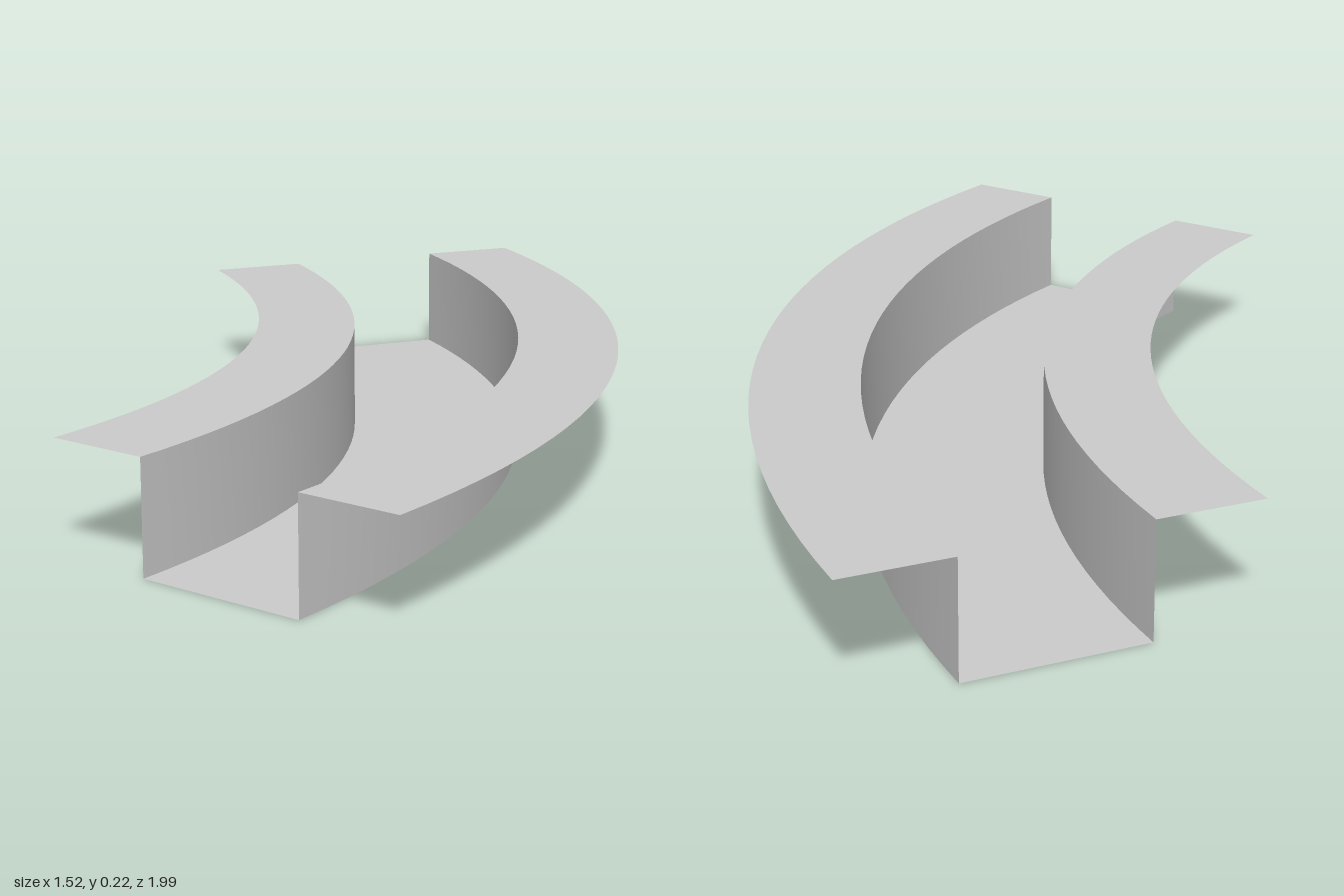
import * as THREE from 'three';

const HALF = 0.381;    // half of the full width
const CHANNEL = 0.174; // half of the channel width
const HEIGHT = 0.22;
const SEGMENTS = 32;

// Centre line in plan (x, z): a bend of sixty degrees
function centreLine() {
  const start = new THREE.Vector3(0.379, 0, -0.997);
  const end = new THREE.Vector3(-0.572, 0, 0.664);
  const handle = 0.708;
  const heading = (deg) => {
    const a = THREE.MathUtils.degToRad(deg);
    return new THREE.Vector3(-Math.sin(a), 0, Math.cos(a));
  };
  return new THREE.CubicBezierCurve3(
    start,
    start.clone().addScaledVector(heading(0.4), handle),
    end.clone().addScaledVector(heading(59.9), -handle),
    end
  );
}

// Sweeps one straight piece of the cross-section, from [offset, y] to [offset, y]
function sweepStrip(curve, from, to) {
  const positions = [];
  const index = [];
  for (let i = 0; i <= SEGMENTS; i++) {
    const p = curve.getPoint(i / SEGMENTS);
    const t = curve.getTangent(i / SEGMENTS);
    for (const [offset, y] of [from, to]) {
      positions.push(p.x + t.z * offset, y, p.z - t.x * offset);
    }
    if (i < SEGMENTS) {
      const a = i * 2;
      index.push(a, a + 2, a + 1, a + 1, a + 2, a + 3);
    }
  }
  const geometry = new THREE.BufferGeometry();
  geometry.setAttribute('position', new THREE.Float32BufferAttribute(positions, 3));
  geometry.setIndex(index);
  geometry.computeVertexNormals();
  return geometry;
}

export function createModel() {
  const group = new THREE.Group();
  group.name = 'curvedChannel';
  const grey = new THREE.MeshStandardMaterial({ color: 0xcccccc, side: THREE.DoubleSide });
  grey.name = 'light grey';

  // Thin folded sheet: flange, wall, floor, wall, flange
  const curve = centreLine();
  const profile = [
    [-HALF, HEIGHT], [-CHANNEL, HEIGHT], [-CHANNEL, 0],
    [CHANNEL, 0], [CHANNEL, HEIGHT], [HALF, HEIGHT],
  ];
  const names = ['innerFlange', 'innerWall', 'floor', 'outerWall', 'outerFlange'];
  names.forEach((name, i) => {
    const mesh = new THREE.Mesh(sweepStrip(curve, profile[i], profile[i + 1]), grey);
    mesh.name = name;
    group.add(mesh);
  });
  return group;
}
